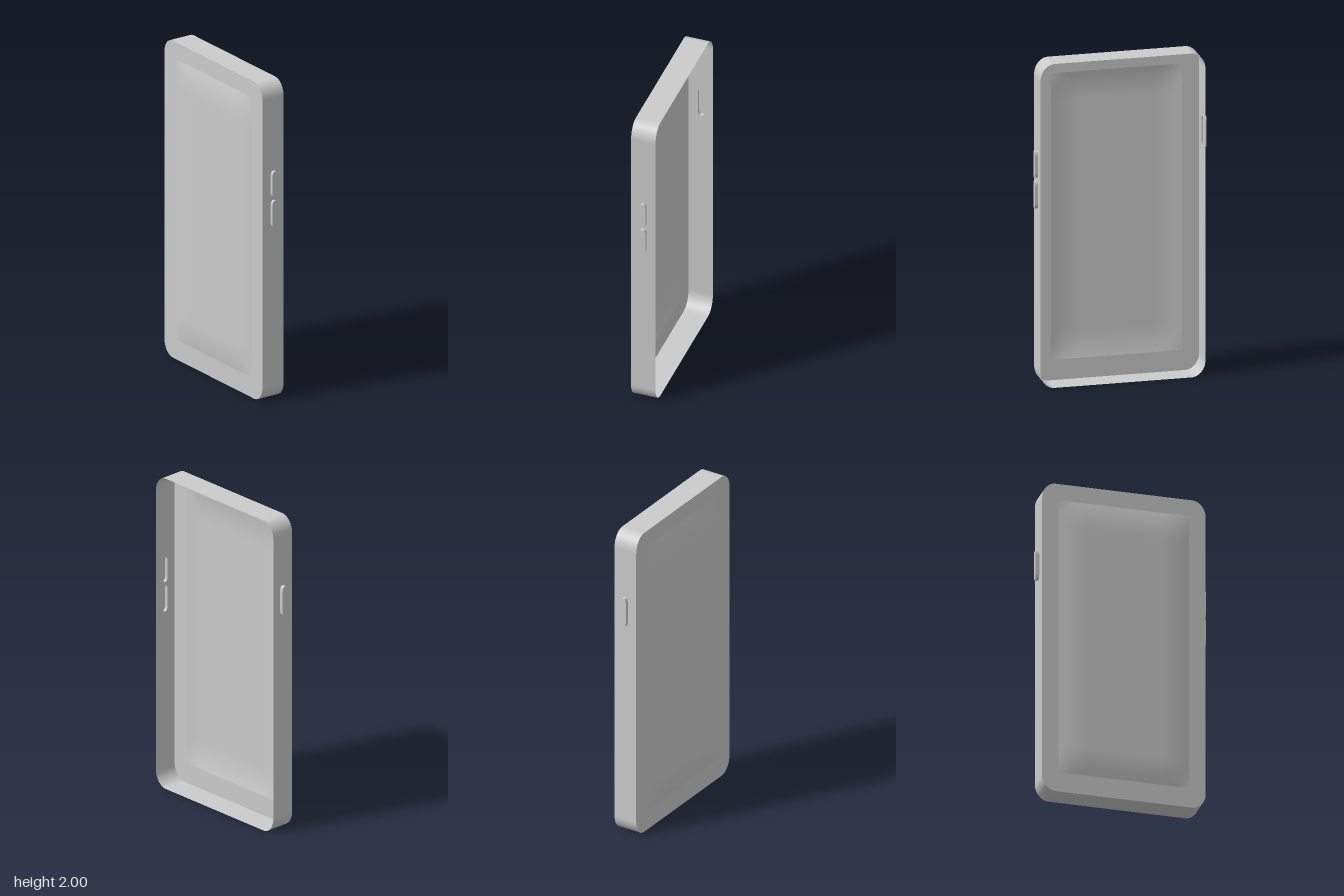
import * as THREE from 'three';

const HALF_W = 0.502, FRONT = 0.068, BACK = -0.085, BULGE = 0.017;
const CORNER_X = 0.085, CORNER_Y = 0.1, ARC = 12;

const material = new THREE.MeshStandardMaterial({ color: 0xcccccc, side: THREE.DoubleSide });

function mesh(name, geometry) {
  const m = new THREE.Mesh(geometry, material);
  m.name = name;
  return m;
}

// Rectangle with elliptical corners, counter-clockwise from the right side
function rounded(cx, cy, halfW, halfH, rx, ry) {
  const s = new THREE.Shape();
  [[1, 1], [-1, 1], [-1, -1], [1, -1]].forEach(([sx, sy], i) => {
    s.absellipse(cx + sx * (halfW - rx), cy + sy * (halfH - ry), rx, ry,
      i * Math.PI / 2, (i + 1) * Math.PI / 2, false);
  });
  return s;
}

function rectangle(x0, y0, x1, y1) {
  return new THREE.Shape([[x0, y0], [x1, y0], [x1, y1], [x0, y1]].map(p => new THREE.Vector2(...p)));
}

// Open strip that follows a path of points from depth z1 to depth z0
function ribbon(points, z0, z1) {
  const n = points.length;
  const g = new THREE.PlaneGeometry(1, 1, n - 1, 1);
  const pos = g.attributes.position;
  for (let i = 0; i < pos.count; i++) {
    const p = points[i % n];
    pos.setXYZ(i, p.x, p.y, i < n ? z1 : z0);
  }
  g.computeVertexNormals();
  return g;
}

// Side wall with a hollow button pushed out of each opening
function sideWall(side, sideName, buttons, height) {
  const group = new THREE.Group();
  group.name = sideName + 'Side';
  const u = z => -side * z;
  const wall = rectangle(Math.min(u(FRONT), u(BACK)), CORNER_Y, Math.max(u(FRONT), u(BACK)), 2 - CORNER_Y);
  buttons.forEach(([y0, y1], i) => {
    const outline = rounded(u(-0.01), (y0 + y1) / 2, 0.019, (y1 - y0) / 2, 0.015, 0.03);
    wall.holes.push(outline);
    const points = outline.getPoints(ARC);
    points.push(points[0]);
    const button = new THREE.Group();
    button.name = sideName + 'Button' + (i + 1);
    const cap = mesh('buttonCap', new THREE.ShapeGeometry(outline, ARC));
    cap.position.z = height;
    button.add(cap, mesh('buttonRim', ribbon(points, 0, height)));
    group.add(button);
  });
  group.add(mesh(sideName + 'Wall', new THREE.ShapeGeometry(wall, ARC)));
  group.position.x = side * HALF_W;
  group.rotation.y = side * Math.PI / 2;
  return group;
}

// Shallow pillow that rises from a flat rectangular edge
function pillow(halfW, halfH, slope) {
  const g = new THREE.PlaneGeometry(2 * halfW, 2 * halfH, 48, 96);
  const pos = g.attributes.position;
  const rise = d => 1 - (1 - Math.min(Math.max(d, 0) / slope, 1)) ** 2;
  for (let i = 0; i < pos.count; i++) {
    const x = pos.getX(i), y = pos.getY(i);
    pos.setZ(i, BULGE * rise(halfW - Math.abs(x)) * rise(halfH - Math.abs(y)));
  }
  g.computeVertexNormals();
  return g;
}

export function createModel() {
  const model = new THREE.Group();
  model.name = 'phoneCase';

  // Front border, inset panel and raised pillow
  const outer = rounded(0, 1, HALF_W, 1, CORNER_X, CORNER_Y);
  const inner = rounded(0, 1, 0.455, 0.937, 0.035, 0.045);
  const border = outer.clone();
  border.holes.push(inner);
  const panel = inner.clone();
  panel.holes.push(rectangle(-0.4, 0.125, 0.4, 1.895));
  const frontBorder = mesh('frontBorder', new THREE.ShapeGeometry(border, ARC));
  const frontPanel = mesh('frontPanel', new THREE.ShapeGeometry(panel, ARC));
  const raisedPanel = mesh('raisedPanel', pillow(0.4, 0.885, 0.17));
  raisedPanel.position.y = 1.01;
  for (const part of [frontBorder, frontPanel, raisedPanel]) {
    part.position.z = FRONT;
    model.add(part);
  }

  // Top and bottom walls wrap round the corners; the back stays open
  const points = outer.getPoints(ARC);
  model.add(mesh('topWall', ribbon(points.filter(p => p.y > 1), BACK, FRONT)));
  model.add(mesh('bottomWall', ribbon(points.filter(p => p.y < 1), BACK, FRONT)));

  // Side walls with their buttons
  model.add(sideWall(1, 'left', [[1.285, 1.45], [1.095, 1.265]], 0.02));
  model.add(sideWall(-1, 'right', [[1.395, 1.585]], 0.022));
  return model;
}
